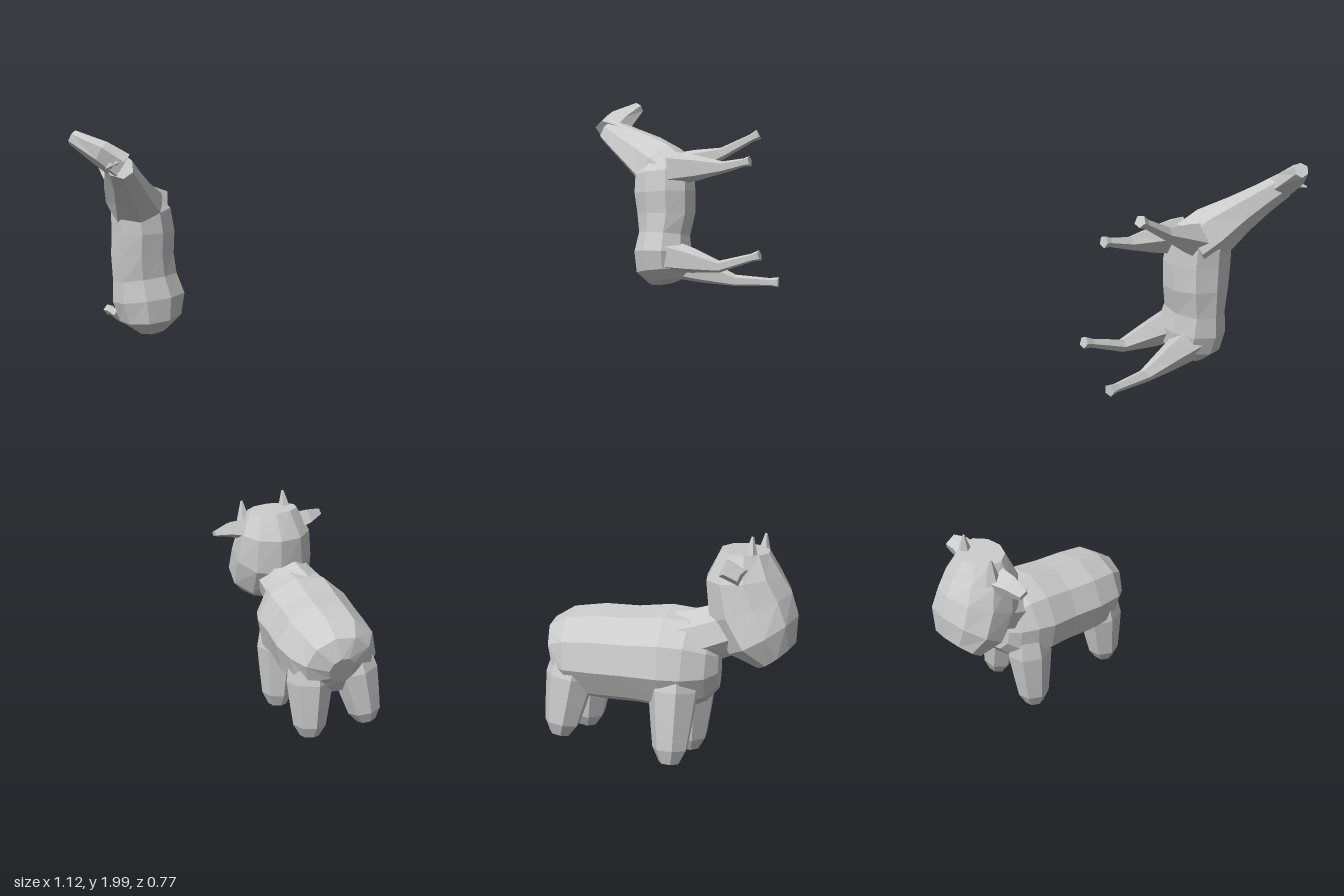
import * as THREE from 'three';

const V = (a) => new THREE.Vector3(a[0], a[1], a[2]);
const material = new THREE.MeshStandardMaterial({ color: 0xcccccc, flatShading: true });

// Faceted loft: stations are [x, y, z, half width along side, half depth across]
function loft(name, side, stations, sides = 8) {
  const n = stations.length, pos = [], idx = [];
  stations.forEach((s, i) => {
    const t = V(stations[Math.min(i + 1, n - 1)]).sub(V(stations[Math.max(i - 1, 0)])).normalize();
    const u = V(side).addScaledVector(t, -V(side).dot(t)).normalize();
    const v = t.clone().cross(u);
    for (let j = 0; j < sides; j++) {
      const a = ((j + 0.5) / sides) * Math.PI * 2;
      const p = V(s).addScaledVector(u, s[3] * 1.05 * Math.cos(a)).addScaledVector(v, s[4] * 1.05 * Math.sin(a));
      pos.push(p.x, p.y, p.z);
    }
  });
  for (let i = 0; i < n - 1; i++) {
    for (let j = 0; j < sides; j++) {
      const a = i * sides + j, b = i * sides + (j + 1) % sides;
      idx.push(a, b, b + sides, a, b + sides, a + sides);
    }
  }
  const last = (n - 1) * sides;
  for (let j = 1; j < sides - 1; j++) {
    idx.push(0, j + 1, j, last, last + j, last + j + 1);
  }
  const g = new THREE.BufferGeometry();
  g.setAttribute('position', new THREE.Float32BufferAttribute(pos, 3));
  g.setIndex(idx);
  g.computeVertexNormals();
  const mesh = new THREE.Mesh(g, material);
  mesh.name = name;
  return mesh;
}

function createCow() {
  const cow = new THREE.Group();
  cow.name = 'cow';
  const side = [0.9, 0.2, 0.4];

  // Barrel body from rump to chest
  cow.add(loft('cowBody', side, [
    [0.235, 0.30, 0.36, 0.045, 0.05],
    [0.24, 0.31, 0.335, 0.11, 0.105],
    [0.255, 0.32, 0.29, 0.145, 0.13],
    [0.28, 0.325, 0.20, 0.155, 0.14],
    [0.32, 0.33, 0.10, 0.155, 0.14],
    [0.355, 0.335, 0.0, 0.16, 0.15],
    [0.375, 0.335, -0.06, 0.145, 0.145],
    [0.39, 0.33, -0.115, 0.11, 0.115],
    [0.395, 0.33, -0.145, 0.07, 0.075],
  ], 10));
  cow.add(loft('cowNeck', side, [
    [0.36, 0.38, -0.02, 0.12, 0.10],
    [0.38, 0.41, -0.10, 0.10, 0.085],
    [0.39, 0.44, -0.19, 0.09, 0.08],
  ], 8));

  // Head from crown down to the broad, low muzzle
  cow.add(loft('cowHead', side, [
    [0.378, 0.675, -0.22, 0.085, 0.07],
    [0.382, 0.60, -0.215, 0.122, 0.11],
    [0.388, 0.51, -0.235, 0.135, 0.13],
    [0.408, 0.425, -0.275, 0.142, 0.115],
    [0.425, 0.365, -0.315, 0.10, 0.065],
  ], 10));

  // Ears
  cow.add(loft('cowEar', [0, 0.4, 0.9], [
    [0.30, 0.605, -0.255, 0.05, 0.045],
    [0.23, 0.61, -0.275, 0.038, 0.03],
    [0.175, 0.60, -0.287, 0.022, 0.01],
  ], 4));
  cow.add(loft('cowEar', [-0.3, 0.4, 0.9], [
    [0.44, 0.62, -0.19, 0.05, 0.045],
    [0.495, 0.638, -0.168, 0.042, 0.032],
    [0.54, 0.648, -0.165, 0.03, 0.014],
  ], 4));

  // Horns
  for (const [x, y, z] of [[0.295, 0.70, -0.29], [0.435, 0.73, -0.235]]) {
    cow.add(loft('cowHorn', side, [
      [x + 0.005, y - 0.09, z + 0.01, 0.03, 0.03],
      [x, y, z, 0.004, 0.004],
    ], 5));
  }

  // Stubby legs: hip point to foot point
  const legs = [
    ['cowHindLeg', [0.195, 0.34, 0.24], [0.182, 0.05, 0.262]],
    ['cowHindLeg', [0.315, 0.36, 0.29], [0.358, 0.09, 0.342]],
    ['cowFrontLeg', [0.425, 0.38, -0.01], [0.49, 0.05, 0.012]],
    ['cowFrontLeg', [0.305, 0.34, -0.07], [0.29, 0.012, -0.06]],
  ];
  for (const [name, a, b] of legs) {
    const at = (k, r) => [...V(a).lerp(V(b), k).toArray(), r, r];
    cow.add(loft(name, side, [at(0, 0.06), at(0.35, 0.074), at(0.65, 0.062), at(0.87, 0.052), at(1, 0.03)], 7));
  }
  return cow;
}

function createHorse() {
  const horse = new THREE.Group();
  horse.name = 'horse';
  const side = [0.92, 0, 0.4];
  const headSide = [0.7, 0.7, 0.1];

  // Upright body, rump at the bottom, slim waist, deep chest
  horse.add(loft('horseBody', side, [
    [-0.245, 1.415, 0.0, 0.05, 0.05],
    [-0.255, 1.45, 0.005, 0.09, 0.085],
    [-0.26, 1.51, 0.005, 0.105, 0.09],
    [-0.27, 1.57, 0.0, 0.093, 0.08],
    [-0.275, 1.64, -0.005, 0.09, 0.093],
    [-0.275, 1.71, 0.0, 0.09, 0.098],
    [-0.282, 1.77, 0.0, 0.085, 0.095],
    [-0.29, 1.81, 0.005, 0.055, 0.07],
  ], 9));

  // Neck and tapering head
  horse.add(loft('horseNeck', headSide, [
    [-0.27, 1.755, -0.03, 0.075, 0.085],
    [-0.31, 1.79, 0.015, 0.075, 0.09],
    [-0.365, 1.835, 0.07, 0.055, 0.078],
    [-0.415, 1.875, 0.13, 0.042, 0.06],
    [-0.46, 1.91, 0.18, 0.035, 0.045],
  ], 7));
  horse.add(loft('horseHead', headSide, [
    [-0.45, 1.905, 0.18, 0.038, 0.055],
    [-0.495, 1.94, 0.15, 0.033, 0.05],
    [-0.55, 1.985, 0.082, 0.02, 0.02],
  ], 6));

  // Ears folded close to the poll
  for (const [x, y, z] of [[-0.52, 1.905, 0.213], [-0.5, 1.915, 0.222]]) {
    horse.add(loft('horseEar', headSide, [
      [x + 0.04, y + 0.012, z - 0.025, 0.014, 0.014],
      [x, y, z, 0.003, 0.003],
    ], 4));
  }

  // Slender legs: thigh, knee, hoof
  const legs = [
    ['horseFrontLeg', [-0.305, 1.78, -0.03], [-0.268, 1.835, -0.19], [-0.245, 1.895, -0.305]],
    ['horseFrontLeg', [-0.225, 1.785, -0.02], [-0.15, 1.79, -0.18], [-0.112, 1.81, -0.265]],
    ['horseHindLeg', [-0.285, 1.475, -0.03], [-0.225, 1.42, -0.23], [-0.185, 1.417, -0.37]],
    ['horseHindLeg', [-0.205, 1.505, 0.0], [-0.12, 1.475, -0.17], [-0.062, 1.515, -0.295]],
  ];
  for (const [name, hip, knee, hoof] of legs) {
    const mid = V(hip).lerp(V(knee), 0.5).toArray();
    const ankle = V(knee).lerp(V(hoof), 0.8).toArray();
    horse.add(loft(name, side, [
      [...hip, 0.05, 0.055], [...mid, 0.033, 0.04], [...knee, 0.019, 0.019],
      [...ankle, 0.013, 0.013], [...hoof, 0.018, 0.017],
    ], 5));
  }
  return horse;
}

export function createModel() {
  const model = new THREE.Group();
  model.name = 'animals';
  model.add(createCow(), createHorse());
  return model;
}
